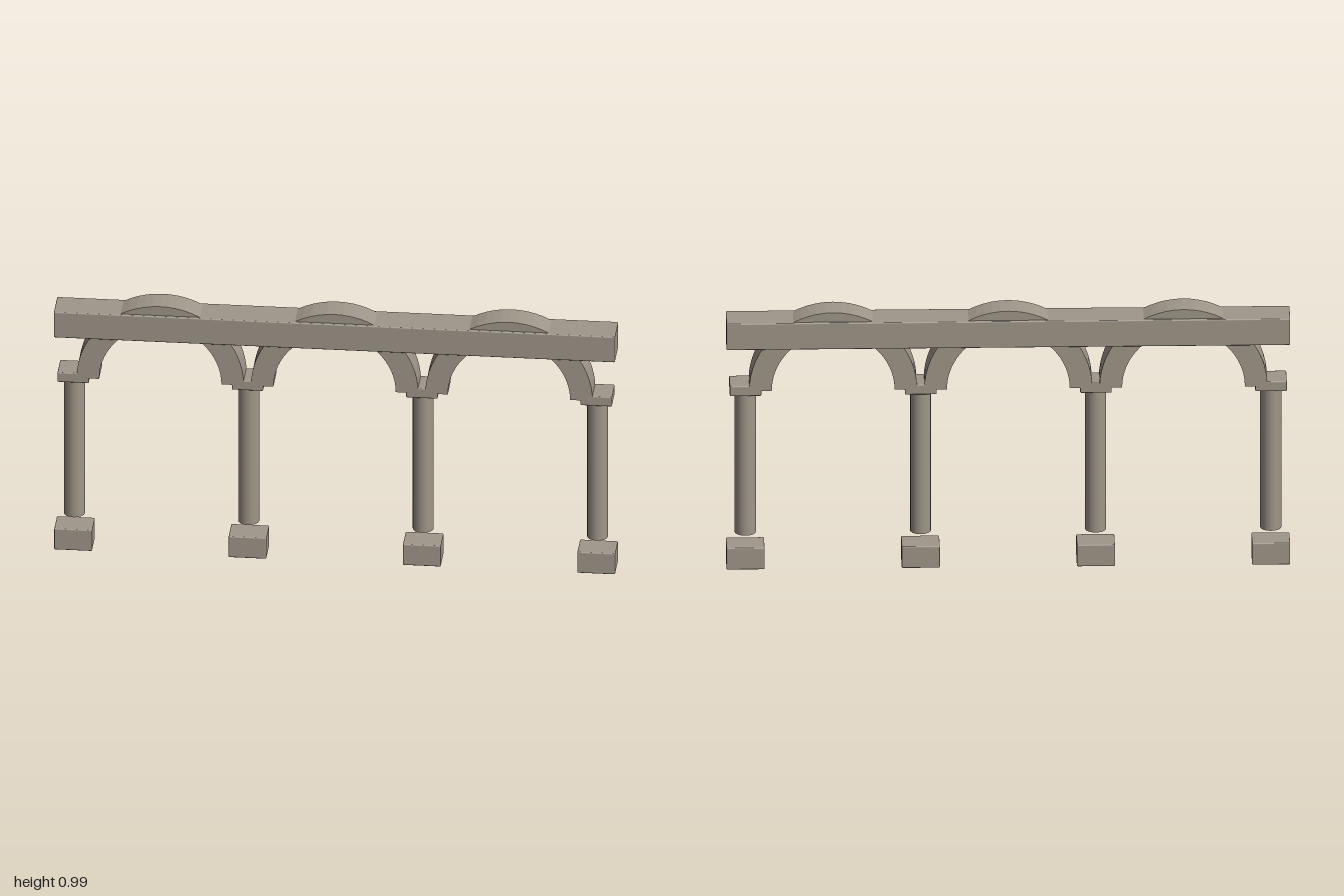
import * as THREE from 'three';
import { RoundedBoxGeometry } from 'three/addons/geometries/RoundedBoxGeometry.js';

const SPACING = 0.6215; // distance between column axes
const DEPTH = 0.102;
const SPRING = 0.687; // height at which the arches start

export function createModel() {
  const model = new THREE.Group();
  model.name = 'arcade';
  const stone = new THREE.MeshStandardMaterial({ color: 0x9f978a });

  const add = (name, geometry, x, y, z = 0) => {
    const mesh = new THREE.Mesh(geometry, stone);
    mesh.name = name;
    mesh.position.set(x, y, z);
    model.add(mesh);
  };
  const block = (w, h, d) => new RoundedBoxGeometry(w, h, d, 2, 0.004);

  // Columns: base block, floating shaft and capital
  const base = block(0.135, 0.083, DEPTH);
  const shaft = new THREE.CylinderGeometry(0.0375, 0.0375, 0.542, 16);
  const capital = block(0.112, 0.038, DEPTH);
  for (let i = 0; i < 4; i++) {
    const x = (i - 1.5) * SPACING;
    add('base', base, x, 0.0415);
    add('shaft', shaft, x, 0.396);
    add('capital', capital, x, 0.686);
  }

  // Half-ring arches spanning neighbouring columns
  const ring = new THREE.Shape();
  ring.absarc(0, 0, 0.298, 0, Math.PI, false);
  ring.absarc(0, 0, 0.218, Math.PI, 0, true);
  const arch = new THREE.ExtrudeGeometry(ring, { depth: DEPTH, bevelEnabled: false, curveSegments: 16 });
  for (let i = -1; i <= 1; i++) add('arch', arch, i * SPACING, SPRING, -DEPTH / 2);

  // Long beam through the tops of the arches
  add('beam', block(2, 0.101, 0.123), 0, 0.899);

  return model;
}
